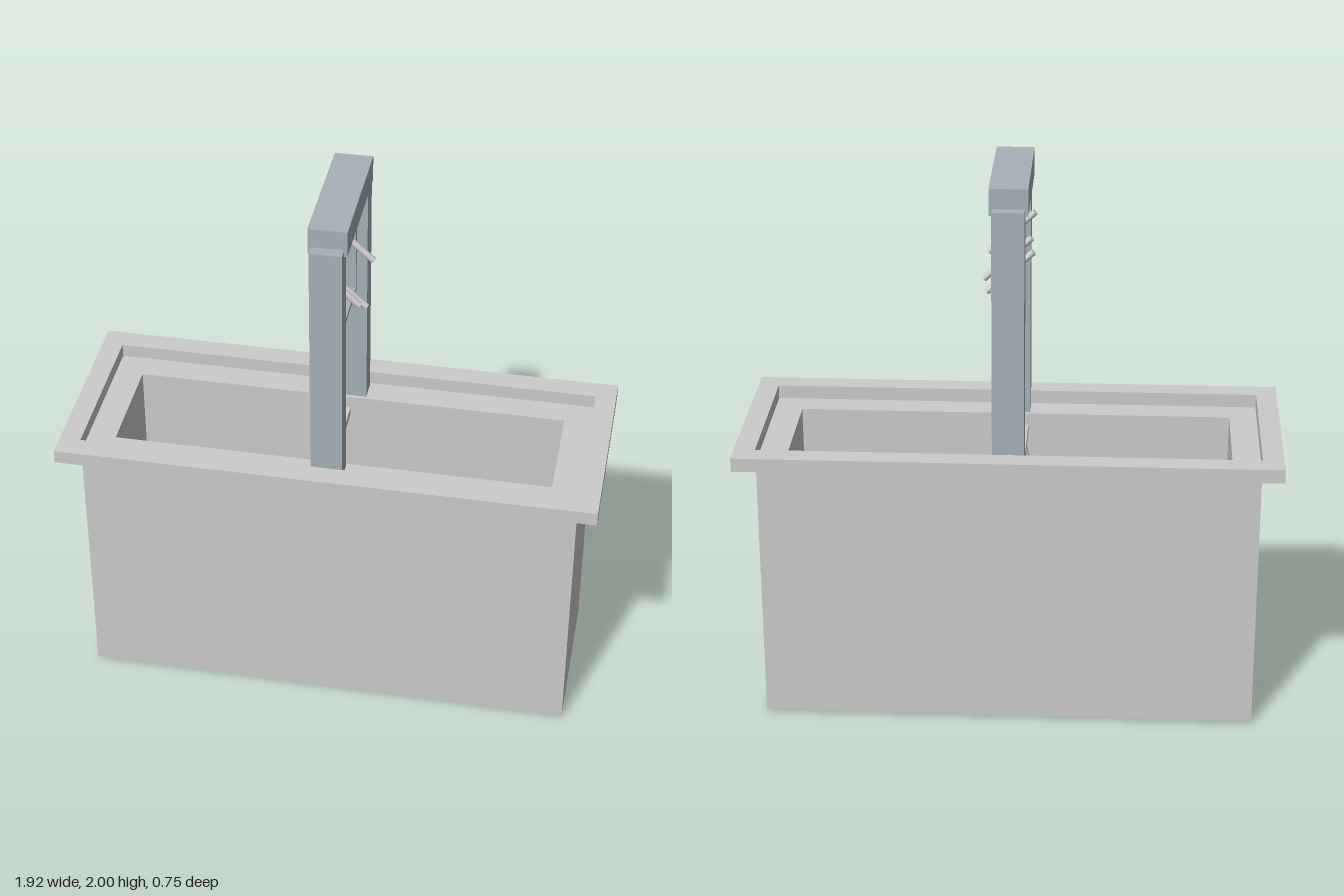
import * as THREE from 'three';

const grey = new THREE.MeshStandardMaterial({ color: 0xcccccc, flatShading: true });
const smoothGrey = new THREE.MeshStandardMaterial({ color: 0xcccccc });
const steel = new THREE.MeshStandardMaterial({ color: 0xa5b2b8, flatShading: true });

export function createModel() {
  const model = new THREE.Group();

  const add = (name, geometry, material) => {
    const mesh = new THREE.Mesh(geometry, material);
    mesh.name = name;
    model.add(mesh);
    return mesh;
  };

  // Box given by its extents on each axis
  const box = (name, [x0, x1], [y0, y1], [z0, z1], material) =>
    add(name, new THREE.BoxGeometry(x1 - x0, y1 - y0, z1 - z0), material)
      .position.set((x0 + x1) / 2, (y0 + y1) / 2, (z0 + z1) / 2);

  // Hollow rectangular ring in plan, from y0 to y1
  const corners = (w, d) => [[-w, -d], [w, -d], [w, d], [-w, d]].map(p => new THREE.Vector2(...p));
  const ring = (name, outer, inner, y0, y1) => {
    const shape = new THREE.Shape(corners(...outer));
    shape.holes.push(new THREE.Path(corners(...inner).reverse()));
    const geometry = new THREE.ExtrudeGeometry(shape, { depth: y1 - y0, bevelEnabled: false });
    add(name, geometry.rotateX(-Math.PI / 2).translate(0, y0, 0), grey);
  };

  // Round rod between two points
  const rod = (name, a, b, radius) => {
    const from = new THREE.Vector3(...a), to = new THREE.Vector3(...b);
    const along = to.clone().sub(from);
    const mesh = add(name, new THREE.CylinderGeometry(radius, radius, along.length(), 12), smoothGrey);
    mesh.position.copy(from).add(to).multiplyScalar(0.5);
    mesh.quaternion.setFromUnitVectors(new THREE.Vector3(0, 1, 0), along.normalize());
  };

  // Tank: floor, thick walls and overhanging rim
  box('tankFloor', [-0.885, 0.885], [0.01, 0.05], [-0.295, 0.295], grey);
  ring('tankWalls', [0.885, 0.295], [0.785, 0.195], 0.05, 1.0);
  ring('tankRim', [0.96, 0.375], [0.885, 0.295], 1.0, 1.05);

  // Sloping screen inside the tank
  box('screenTopBeam', [-0.05, 0.0], [0.925, 0.955], [-0.195, 0.195], grey);
  box('screenFootBeam', [-0.285, -0.258], [0.05, 0.09], [-0.195, 0.195], grey);
  for (let i = 0; i < 8; i++) {
    const z = -0.175 + i * 0.05;
    rod('screenBar', [-0.25, 0.005, z], [-0.025, 0.93, z], 0.009);
  }

  // Gate: posts and cross beam
  for (const s of [-1, 1]) {
    box('gatePost', [-0.056, 0.056], [1.0, 1.93], s < 0 ? [-0.285, -0.208] : [0.208, 0.285], steel);
  }
  box('gateCrossBeam', [-0.067, 0.067], [1.905, 2.0], [-0.245, 0.245], steel);

  // Thin square frame hung between the posts
  for (const y of [1.478, 1.875]) {
    box('frameRail', [-0.02, 0.02], [y, y + 0.017], [-0.195, 0.195], steel);
  }
  for (const z of [-0.195, 0.18]) {
    box('frameStile', [-0.02, 0.02], [1.495, 1.875], [z, z + 0.015], steel);
  }

  // Three slanting pegs
  for (const [z, y] of [[-0.14, 1.72], [0, 1.62], [0.14, 1.72]]) {
    rod('peg', [-0.075, y + 0.075, z], [0.09, y - 0.075, z], 0.012);
  }

  return model;
}
